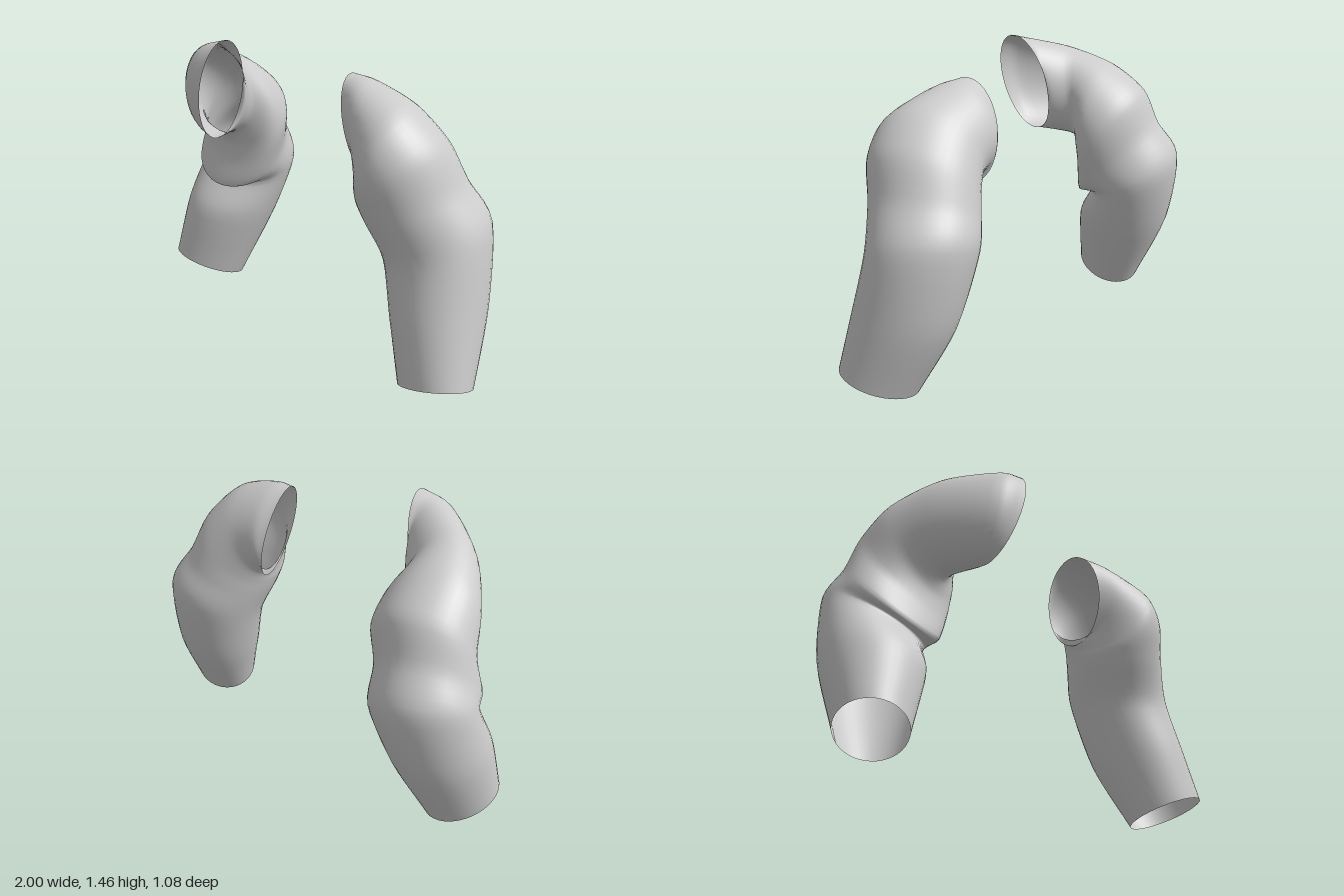
import * as THREE from 'three';

const SIDES = 40, STEPS = 5;

// Each ring: outer point, inner point, half-width vector across them.
const leftRings = [
  [[0.27, 1.37, 0.19], [0.36, 0.90, 0.14], [0.00, 0.00, 0.155]],
  [[0.39, 1.355, 0.22], [0.36, 0.93, 0.17], [0.01, 0.00, 0.20]],
  [[0.60, 1.28, 0.26], [0.38, 0.87, 0.25], [0.02, 0.00, 0.25]],
  [[0.755, 1.13, 0.25], [0.385, 0.83, 0.25], [0.01, 0.00, 0.265]],
  [[0.84, 0.94, 0.22], [0.41, 0.76, 0.22], [0.00, -0.02, 0.26]],
  [[0.95, 0.755, 0.19], [0.48, 0.60, 0.18], [0.00, -0.04, 0.255]],
  [[0.985, 0.42, 0.26], [0.555, 0.32, 0.25], [0.00, 0.02, 0.235]],
  [[0.995, 0.10, 0.37], [0.645, 0.04, 0.37], [0.02, 0.06, 0.17]],
];
const rightRings = [
  [[-0.37, 1.465, 0.25], [-0.49, 0.96, 0.20], [0.02, -0.02, -0.14]],
  [[-0.47, 1.44, 0.23], [-0.50, 0.96, 0.16], [0.09, 0.00, -0.12]],
  [[-0.61, 1.385, 0.05], [-0.57, 0.93, 0.00], [0.155, 0.00, -0.05]],
  [[-0.64, 1.305, -0.17], [-0.56, 0.86, -0.05], [0.225, 0.00, -0.01]],
  [[-0.63, 1.18, -0.35], [-0.58, 0.76, -0.05], [0.25, 0.00, 0.00]],
  [[-0.65, 1.00, -0.43], [-0.65, 0.62, -0.03], [0.25, -0.02, 0.00]],
  [[-0.67, 0.81, -0.54], [-0.67, 0.635, -0.10], [0.25, -0.05, 0.00]],
  [[-0.74, 0.45, -0.48], [-0.74, 0.47, 0.00], [0.235, -0.04, 0.00]],
  [[-0.81, 0.07, -0.30], [-0.85, 0.17, 0.04], [0.17, -0.05, 0.00]],
];

// Open tube lofted smoothly through the rings
function sleeveGeometry(rings) {
  const [outer, inner, half] = [0, 1, 2].map(
    (k) => new THREE.CatmullRomCurve3(rings.map((r) => new THREE.Vector3(...r[k])), false, 'catmullrom', 0.4));
  const rows = (rings.length - 1) * STEPS;
  const positions = [], index = [];
  for (let i = 0; i <= rows; i++) {
    const t = i / rows;
    const p = outer.getPoint(t), q = inner.getPoint(t), v = half.getPoint(t);
    const centre = p.clone().add(q).multiplyScalar(0.5);
    const u = p.sub(q).multiplyScalar(0.5);
    for (let j = 0; j < SIDES; j++) {
      const a = (j / SIDES) * Math.PI * 2;
      const pt = centre.clone().addScaledVector(u, Math.cos(a)).addScaledVector(v, Math.sin(a));
      positions.push(pt.x, pt.y, pt.z);
      if (i < rows) {
        const k = (j + 1) % SIDES, r = i * SIDES, s = r + SIDES;
        index.push(r + j, r + k, s + j, r + k, s + k, s + j);
      }
    }
  }
  const geometry = new THREE.BufferGeometry();
  geometry.setAttribute('position', new THREE.Float32BufferAttribute(positions, 3));
  geometry.setIndex(index);
  geometry.computeVertexNormals();
  return geometry;
}

export function createModel() {
  const model = new THREE.Group();
  model.name = 'sleeves';
  const cloth = new THREE.MeshStandardMaterial({ color: 0xcccccc, side: THREE.DoubleSide });
  cloth.name = 'light grey cloth';
  for (const [name, rings] of [['leftSleeve', leftRings], ['rightSleeve', rightRings]]) {
    const mesh = new THREE.Mesh(sleeveGeometry(rings), cloth);
    mesh.name = name;
    model.add(mesh);
  }
  return model;
}
